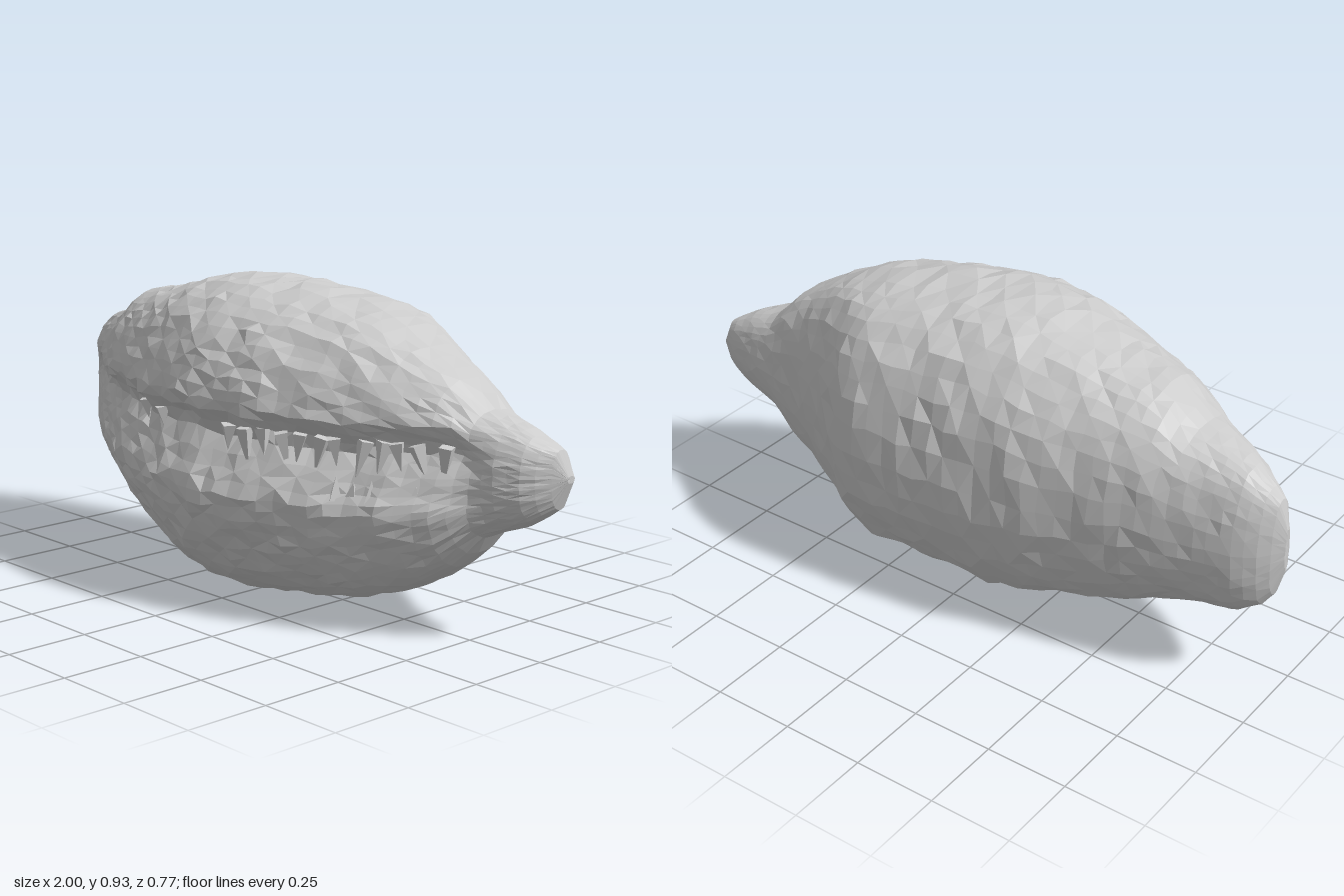
import * as THREE from 'three';

// Outline curves along the shell's length: [x, value] pairs
const TOP = [[-1, .55], [-.985, .62], [-.95, .66], [-.88, .71], [-.7, .76], [-.6, .825], [-.4, .865], [-.2, .915], [-.08, .93], [.2, .91], [.4, .87],
  [.5, .835], [.6, .785], [.72, .715], [.78, .645], [.9, .6], [.98, .555], [1, .49]];
const BOTTOM = [[-1, .41], [-.985, .34], [-.95, .29], [-.88, .24], [-.7, .2], [-.5, .11], [-.3, .05], [-.1, 0], [.1, .01], [.4, .05],
  [.5, .085], [.6, .13], [.72, .21], [.79, .3], [.9, .34], [.98, .4], [1, .47]];
const FRONT = [[-1, -.05], [-.9, .02], [-.8, .09], [-.6, .205], [-.4, .295], [-.2, .36], [0, .39], [.2, .37], [.4, .3], [.6, .21], [.72, .135], [.8, .07], [.93, .0], [1, -.09]];
const BACK = [[-1, -.09], [-.96, -.14], [-.9, -.18], [-.6, -.26], [-.28, -.34], [0, -.37], [.2, -.383], [.28, -.385], [.33, -.37], [.4, -.325], [.5, -.265], [.6, -.215], [.66, -.193], [.8, -.175], [.95, -.145], [1, -.12]];
// Mouth groove: depth against height, and its strength along x
const GROOVE = [[.36, 0], [.41, .035], [.46, .06], [.52, .1], [.55, .07], [.6, 0]];
const MOUTH = [[-1, .3], [-.85, .5], [-.5, .75], [0, 1], [.6, 1], [.74, .8], [.84, 0]];
// Squareness of the back: flattened beside the spout
const BACK_POWER = [[.15, .85], [.45, .65], [.7, .65], [.8, .85]];

function at(table, x) {
  if (x <= table[0][0]) return table[0][1];
  for (let i = 1; i < table.length; i++) {
    const [x0, v0] = table[i - 1], [x1, v1] = table[i];
    if (x <= x1) return v0 + (v1 - v0) * (x - x0) / (x1 - x0);
  }
  return table[table.length - 1][1];
}

let seed = 7;
function jitter(amount) {
  seed = (seed * 16807) % 2147483647;
  return (seed / 2147483647 - .5) * 2 * amount;
}

const bend = (v, power) => Math.sign(v) * Math.abs(v) ** power;

// Loft of rounded rings along x, with the mouth pressed into the front
function shellGeometry() {
  const nx = 48, nr = 52, pos = [], index = [];
  for (let i = 0; i <= nx; i++) {
    const t = i / nx * 2 - 1;
    const x = .6 * t + .4 * Math.sin(t * Math.PI / 2);
    const top = at(TOP, x), bottom = at(BOTTOM, x), front = at(FRONT, x), back = at(BACK, x);
    const zc = (front + back) / 2, hz = (front - back) / 2;
    const rough = Math.min(.008, hz * .02);
    const wave = .008 * Math.sin(x * 17) + .006 * Math.sin(x * 41); // uneven lips
    for (let j = 0; j < nr; j++) {
      const u = j / nr * Math.PI * 2;
      const a = u - .4 * Math.sin(u); // points gather around the mouth
      const s = Math.sin(a), c = Math.cos(a);
      const y = (top + bottom) / 2 + (top - bottom) / 2 * bend(s, s > 0 ? .85 : .95);
      let z = zc + hz * bend(c, c > 0 ? .8 : at(BACK_POWER, x));
      if (c > 0) z -= Math.min(at(GROOVE, y + wave) * at(MOUTH, x), hz * .9);
      pos.push(x + jitter(rough), Math.max(0, y + jitter(rough)), z + jitter(rough));
    }
  }
  for (let i = 0; i < nx; i++) for (let j = 0; j < nr; j++) {
    const k = (j + 1) % nr;
    const a = i * nr + j, b = a + nr, c = i * nr + k, d = c + nr;
    if ((i + j) % 2) index.push(a, b, c, b, d, c);
    else index.push(a, b, d, a, d, c);
  }
  // end caps
  pos.push(-1, .48, -.07, 1, .48, -.105);
  const left = (nx + 1) * nr, right = left + 1, last = nx * nr;
  for (let j = 0; j < nr; j++) {
    const k = (j + 1) % nr;
    index.push(left, j, k, right, last + k, last + j);
  }
  const g = new THREE.BufferGeometry();
  g.setAttribute('position', new THREE.Float32BufferAttribute(pos, 3));
  g.setIndex(index);
  g.computeVertexNormals();
  return g;
}

export function createModel() {
  const model = new THREE.Group();
  model.name = 'cowrieShell';
  const material = new THREE.MeshStandardMaterial({ color: 0xcccccc, flatShading: true });

  const shell = new THREE.Mesh(shellGeometry(), material);
  shell.name = 'shell';
  model.add(shell);

  // Jagged teeth along both lips
  const teeth = new THREE.Group();
  teeth.name = 'teeth';
  model.add(teeth);
  function tooth(name, x, rootY, length, inset, direction) {
    const g = new THREE.ConeGeometry(.026, length, 4);
    if (direction < 0) g.rotateX(Math.PI);
    const mesh = new THREE.Mesh(g, material);
    mesh.name = name;
    mesh.position.set(x, rootY + direction * length / 2, at(FRONT, x) - inset);
    mesh.rotation.set(jitter(.15), jitter(.5), jitter(.3));
    teeth.add(mesh);
  }
  for (let i = 0; i < 12; i++) tooth('upperTooth', .12 + i * .055 + jitter(.015), .55, .1 + jitter(.03), .065, -1);
  for (let i = 0; i < 6; i++) tooth('lowerTooth', .45 + i * .05 + jitter(.01), .38, .06 + jitter(.015), .045, 1);
  for (const x of [-.8, -.32, -.2]) tooth('smallTooth', x, .55, .06, .06, -1);

  return model;
}
